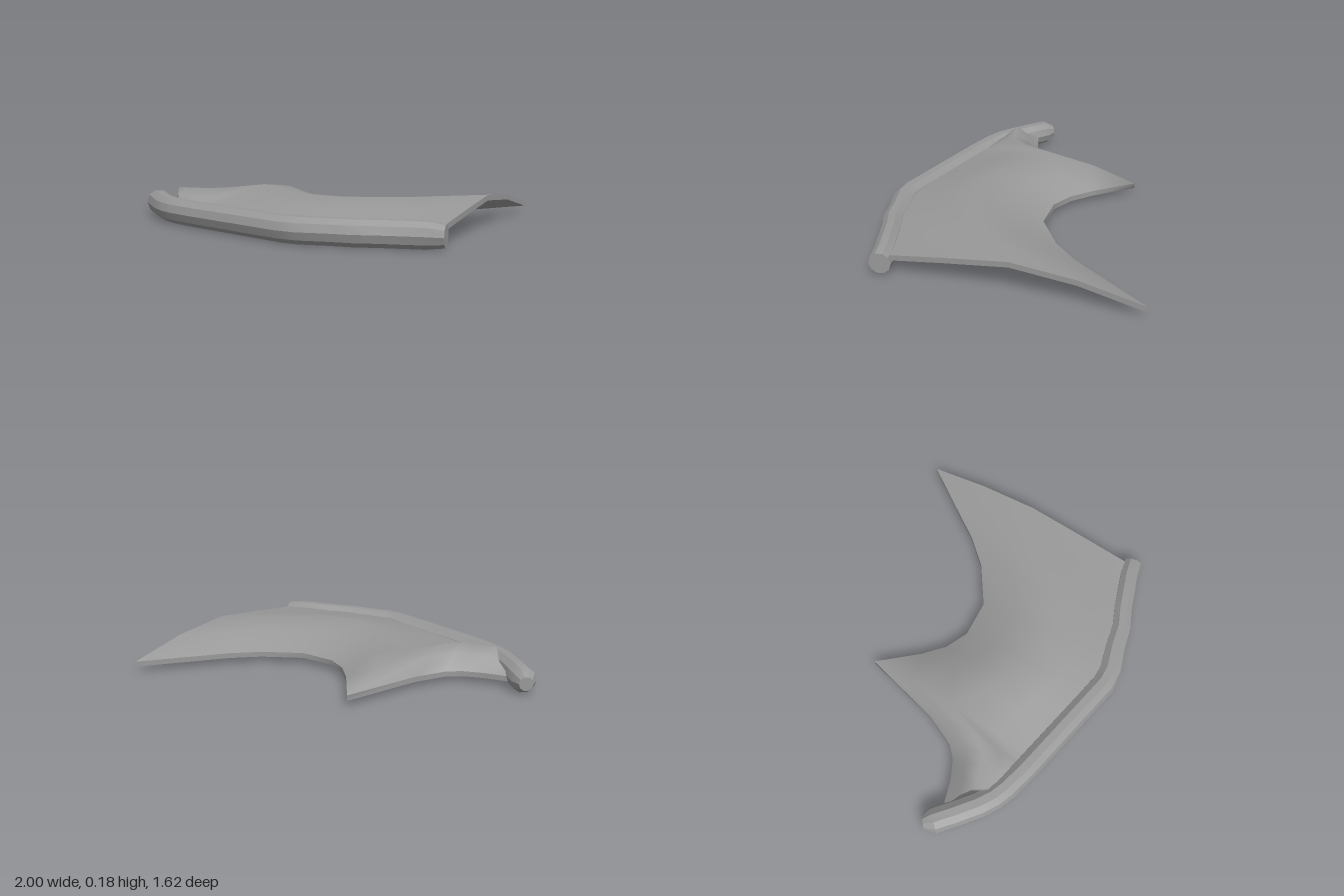
import * as THREE from 'three';
import { toCreasedNormals } from 'three/addons/utils/BufferGeometryUtils.js';

const grey = new THREE.MeshStandardMaterial({ color: 0x999999 });

// Applies rule(x, y, z) -> [x, y, z] to every vertex
function reshape(geometry, rule) {
  const p = geometry.attributes.position;
  for (let i = 0; i < p.count; i++) p.setXYZ(i, ...rule(p.getX(i), p.getY(i), p.getZ(i)));
  geometry.computeVertexNormals();
  return geometry;
}

// Ten-sided bone along the leading edge, smooth lengthwise with sharp long edges
function makeBone() {
  const rings = [ // x, z, half width, half height
    [-0.972, 0.275, 0.04, 0.04], [-0.935, 0.317, 0.071, 0.071], [-0.84, 0.4, 0.071, 0.071],
    [-0.74, 0.482, 0.071, 0.071], [-0.66, 0.533, 0.071, 0.071], [-0.58, 0.565, 0.071, 0.071],
    [-0.43, 0.605, 0.071, 0.071], [0.22, 0.745, 0.071, 0.071], [0.31, 0.742, 0.071, 0.071],
    [0.45, 0.702, 0.066, 0.071], [0.57, 0.678, 0.063, 0.071], [0.68, 0.632, 0.062, 0.071],
    [0.89, 0.563, 0.06, 0.071], [0.985, 0.543, 0.058, 0.058],
  ];
  const n = rings.length - 1;
  const geometry = new THREE.CylinderGeometry(1, 1, 1, 10, n, false, Math.PI / 2);
  reshape(geometry, (x, y, z) => {
    const i = Math.round((y + 0.5) * n);
    const [cx, cz, w, h] = rings[i];
    const a = rings[Math.max(i - 1, 0)], b = rings[Math.min(i + 1, n)];
    const t = new THREE.Vector2(b[0] - a[0], b[1] - a[1]).normalize();
    return [cx - t.y * x * w, 0.068 + z * h, cz + t.x * x * w];
  });
  return toCreasedNormals(geometry, 0.5);
}

// Arched membrane: each rib runs from the bone to the scalloped trailing edge
function makeMembrane() {
  const ribs = [ // front x, front z, back x, back z
    [-0.62, 0.52, -0.84, 0.325], [-0.57, 0.54, -0.7, 0.285], [-0.53, 0.55, -0.6, 0.24],
    [-0.48, 0.565, -0.53, 0.18], [-0.43, 0.58, -0.445, 0], [-0.36, 0.6, -0.33, -0.45],
    [-0.17, 0.64, -0.15, -0.24], [-0.04, 0.67, -0.04, -0.14], [0.09, 0.7, 0.09, -0.08],
    [0.3, 0.72, 0.3, -0.09], [0.51, 0.68, 0.51, -0.23], [0.64, 0.64, 0.64, -0.37],
    [0.75, 0.6, 0.75, -0.53], [0.955, 0.55, 0.945, -0.81],
  ];
  const arch = [0.1, 0.143, 0.181, 0.145, 0.066]; // top height, bone to trailing edge
  // The innermost rib bows inward and drops sooner beside the bone
  const rootArch = [0.1, 0.143, 0.181, 0.12, 0.066];
  const rootBow = [0, 0.01, 0.03, 0.04, 0];
  const n = ribs.length - 1;
  return reshape(new THREE.BoxGeometry(1, 1, 1, n, 1, 4), (x, y, z) => {
    const i = Math.round((x + 0.5) * n), row = Math.round((0.5 - z) * 4);
    const [fx, fz, bx, bz] = ribs[i];
    const t = row / 4;
    const top = (i ? arch : rootArch)[row], bow = i ? 0 : rootBow[row];
    return [fx + (bx - fx) * t + bow, y > 0 ? top : top - 0.03, fz + (bz - fz) * t];
  });
}

export function createModel() {
  const wing = new THREE.Group();
  wing.name = 'wing';
  const bone = new THREE.Mesh(makeBone(), grey);
  bone.name = 'wingBone';
  const membrane = new THREE.Mesh(makeMembrane(), grey);
  membrane.name = 'wingMembrane';
  wing.add(bone, membrane);
  return wing;
}
